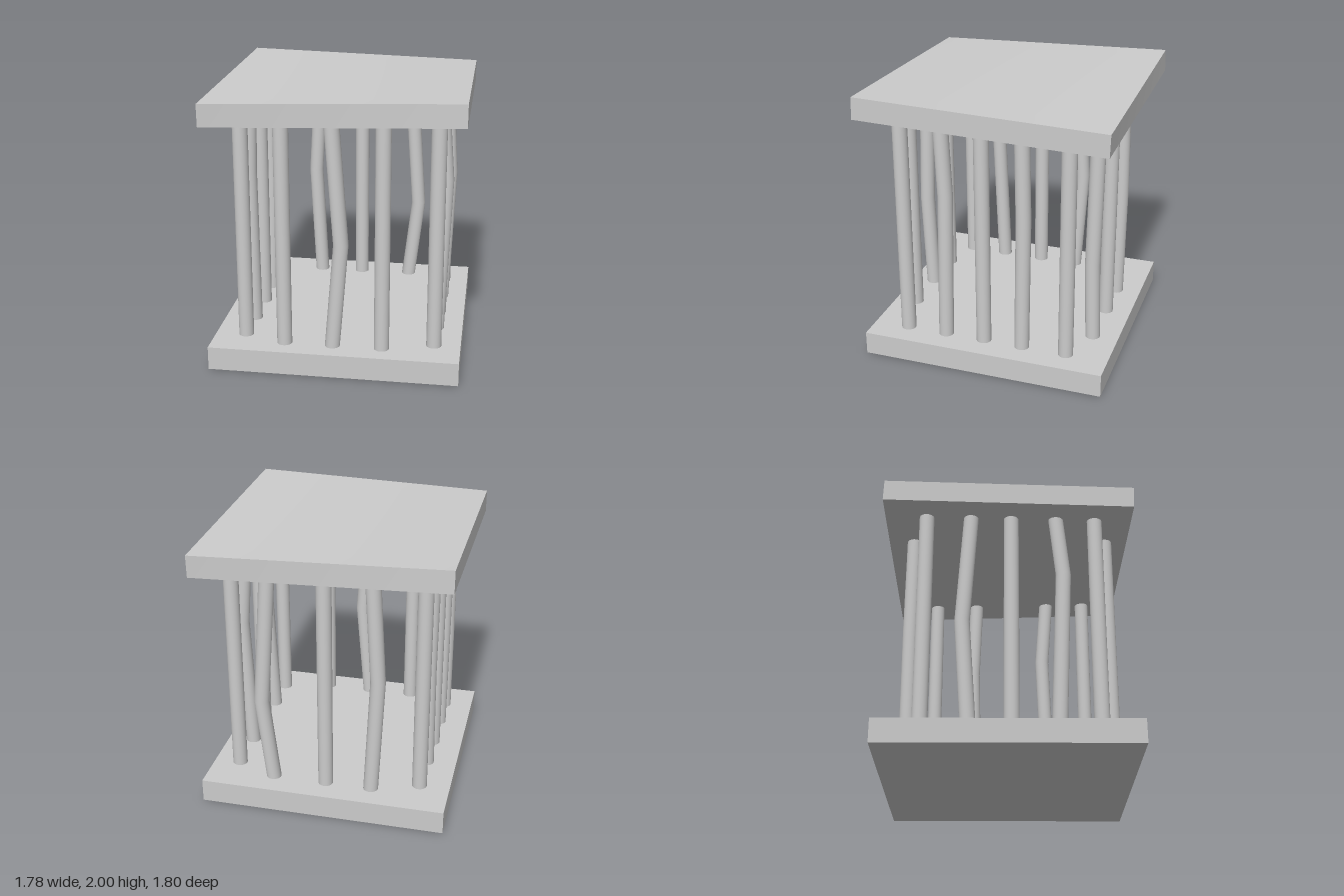
import * as THREE from 'three';

const material = new THREE.MeshStandardMaterial({ color: 0xcccccc });
const RADIUS = 0.054, FLOOR = 0.15, TOP = 1.85;

// Straight shaft section sheared between two centres, with level ends
function shaft(a, b) {
  const h = b.y - a.y;
  const geo = new THREE.CylinderGeometry(RADIUS, RADIUS, h, 32);
  const pos = geo.attributes.position;
  for (let i = 0; i < pos.count; i++) {
    const t = pos.getY(i) / h + 0.5;
    pos.setXYZ(i,
      pos.getX(i) + a.x + (b.x - a.x) * t,
      a.y + h * t,
      pos.getZ(i) + a.z + (b.z - a.z) * t);
  }
  return new THREE.Mesh(geo, material);
}

// Column standing at (x, z); an optional bend [y, dx, dz] kinks it in the middle
function column(x, z, bend) {
  const group = new THREE.Group();
  group.name = bend ? 'bentColumn' : 'straightColumn';
  const path = [new THREE.Vector3(x, FLOOR, z)];
  if (bend) path.push(new THREE.Vector3(x + bend[1], bend[0], z + bend[2]));
  path.push(new THREE.Vector3(x, TOP, z));
  for (let i = 1; i < path.length; i++) {
    const part = shaft(path[i - 1], path[i]);
    part.name = 'columnShaft';
    group.add(part);
  }
  return group;
}

// Roof slab twisted about the x axis, opposite ways at its two ends
function twistedSlab() {
  const geo = new THREE.BoxGeometry(1.784, 0.16, 1.79, 12, 1, 12);
  const pos = geo.attributes.position;
  const pivot = 1.74, centre = 1.8925;
  for (let i = 0; i < pos.count; i++) {
    const angle = 0.031 * pos.getX(i) / 0.892;
    const y = pos.getY(i) + centre - pivot, z = pos.getZ(i);
    pos.setY(i, pivot + y * Math.cos(angle) + z * Math.sin(angle));
    pos.setZ(i, z * Math.cos(angle) - y * Math.sin(angle));
  }
  geo.computeVertexNormals();
  return new THREE.Mesh(geo, material);
}

export function createModel() {
  const model = new THREE.Group();
  model.name = 'pavilion';

  const base = new THREE.Mesh(new THREE.BoxGeometry(1.784, 0.17, 1.79), material);
  base.name = 'base';
  base.position.y = 0.085;
  model.add(base);

  const roof = twistedSlab();
  roof.name = 'twistedRoof';
  model.add(roof);

  const columns = [
    // corners
    [-0.67, 0.63], [0.7, 0.63], [0.7, -0.585], [-0.67, -0.59],
    // front row
    [-0.365, 0.73], [-0.02, 0.73, [0.94, 0.065, 0]], [0.335, 0.73],
    // back row
    [-0.33, -0.705, [1.05, -0.045, 0]], [0.005, -0.705], [0.395, -0.705, [0.8, 0.075, 0]],
    // +x side
    [0.7, 0.33, [1.31, 0.04, -0.04]], [0.7, 0.035], [0.7, -0.255, [1.2, 0.04, -0.025]],
    // -x side
    [-0.67, 0.345, [1.35, 0, 0.05]], [-0.67, 0.025], [-0.67, -0.265, [0.98, 0, -0.055]],
  ];
  for (const [x, z, bend] of columns) model.add(column(x, z, bend));

  return model;
}
